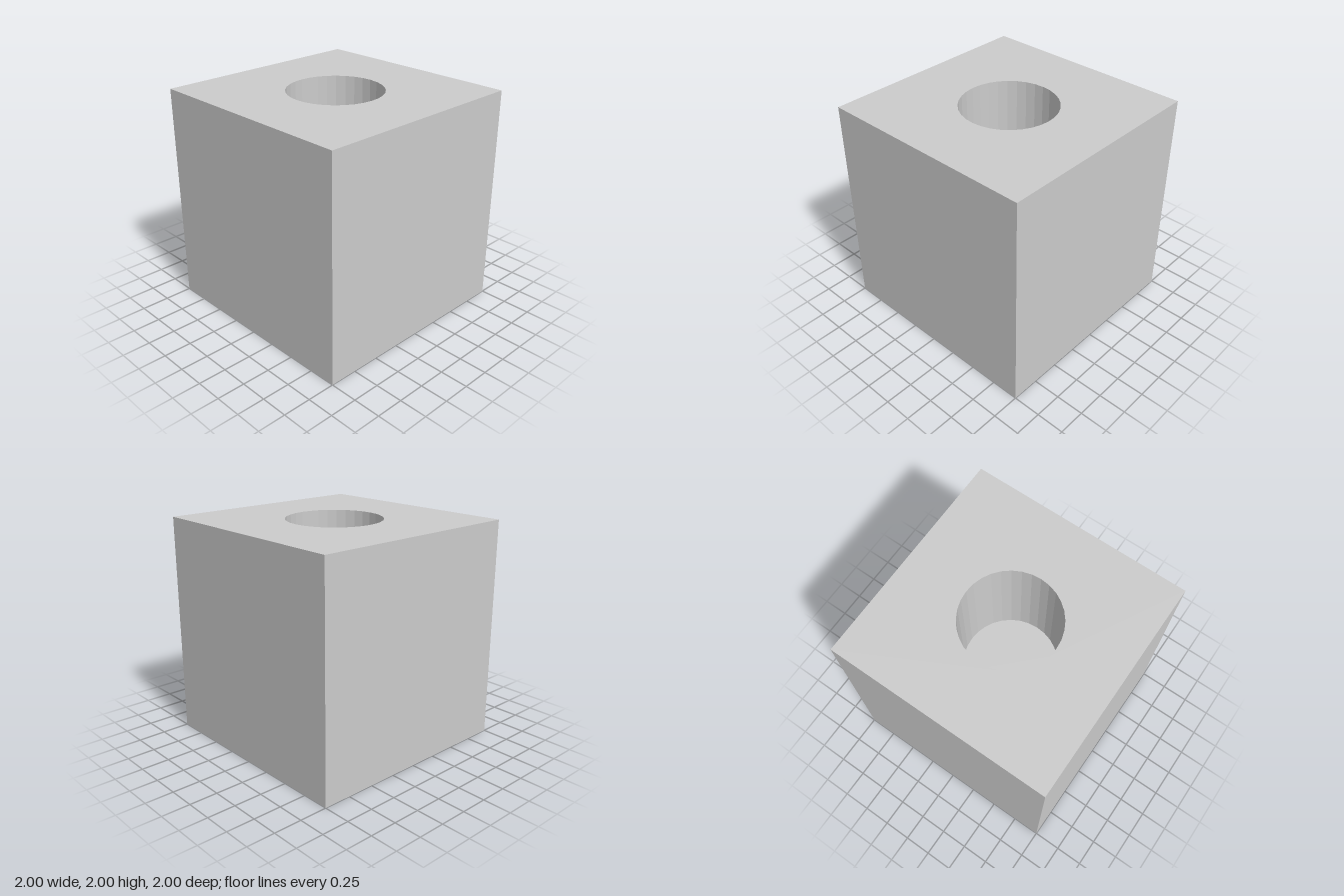
import * as THREE from 'three';

const SIZE = 2, RADIUS = 0.43, DEPTH = 1, SIDES = 32;

// Square slab lying flat between two heights, with an optional round hole
function slab(bottom, top, withHole) {
  const h = SIZE / 2;
  const shape = new THREE.Shape([
    new THREE.Vector2(-h, -h), new THREE.Vector2(h, -h),
    new THREE.Vector2(h, h), new THREE.Vector2(-h, h),
  ]);
  if (withHole) {
    const rim = [];
    for (let i = 0; i < SIDES; i++) {
      const a = -i / SIDES * Math.PI * 2;
      rim.push(new THREE.Vector2(Math.cos(a) * RADIUS, Math.sin(a) * RADIUS));
    }
    shape.holes.push(new THREE.Path(rim));
  }
  const geometry = new THREE.ExtrudeGeometry(shape, { depth: top - bottom, bevelEnabled: false });
  return geometry.rotateX(-Math.PI / 2).translate(0, bottom, 0);
}

export function createModel() {
  const group = new THREE.Group();
  group.name = 'cubeWithRoundHole';
  const material = new THREE.MeshStandardMaterial({ color: 0xcccccc, flatShading: true });

  const add = (name, geometry) => {
    const mesh = new THREE.Mesh(geometry, material);
    mesh.name = name;
    group.add(mesh);
  };

  // Solid base, whose top is the floor of the hole
  add('solidBase', slab(0, SIZE - DEPTH, false));
  // Upper block, pierced by the round hole
  add('boredBlock', slab(SIZE - DEPTH, SIZE, true));

  return group;
}
